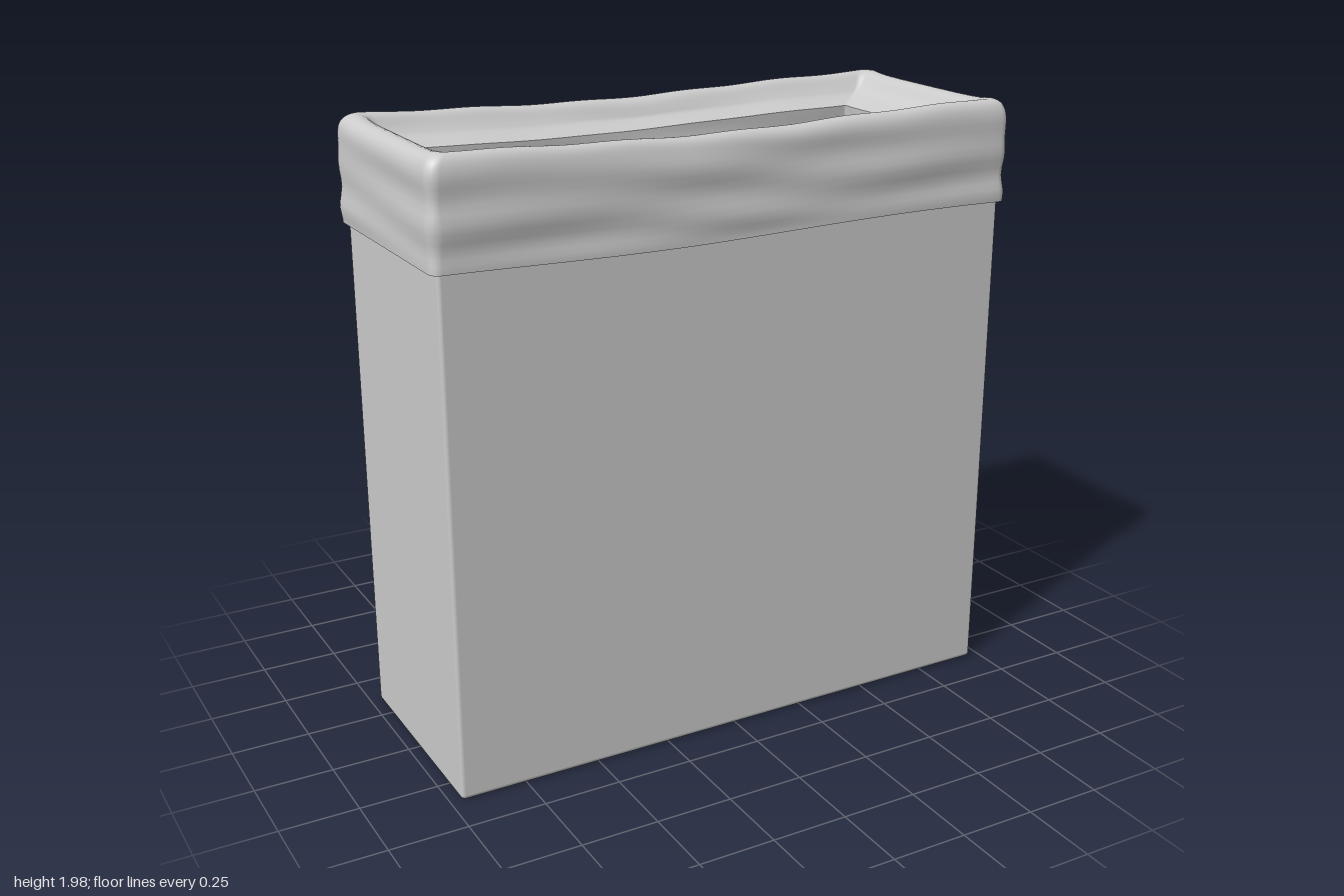
import * as THREE from 'three';

const grey = new THREE.MeshStandardMaterial({ color: 0xcccccc, side: THREE.DoubleSide });

// Rounded-rectangle outline: each entry is [corner factor x, corner factor z, normal x, normal z]
function outline(longSteps, shortSteps, cornerSteps) {
  const corners = [[1, 1], [-1, 1], [-1, -1], [1, -1]];
  const points = [];
  corners.forEach(([sx, sz], k) => {
    for (let i = 0; i <= cornerSteps; i++) {
      const a = (k + i / cornerSteps) * Math.PI / 2;
      points.push([sx, sz, Math.cos(a), Math.sin(a)]);
    }
    const [ex, ez] = corners[(k + 1) % 4];
    const a = (k + 1) * Math.PI / 2;
    const steps = k % 2 ? shortSteps : longSteps;
    for (let i = 1; i < steps; i++) {
      const t = i / steps;
      points.push([sx + (ex - sx) * t, sz + (ez - sz) * t, Math.cos(a), Math.sin(a)]);
    }
  });
  return points;
}

// Skin over rows [half width, half depth, height, corner radius, ...extras]
function loft(rows, ring, deform = () => {}) {
  const positions = [], index = [], n = ring.length;
  const v = new THREE.Vector3();
  rows.forEach((row, j) => {
    const [hx, hz, y, radius] = row;
    const r = Math.min(radius, hx, hz);
    ring.forEach(([sx, sz, nx, nz], i) => {
      v.set(sx * (hx - r) + nx * r, y, sz * (hz - r) + nz * r);
      deform(v, nx, nz, row, sx, sz);
      positions.push(v.x, v.y, v.z);
      if (j === rows.length - 1) return;
      const a = j * n + i, b = j * n + (i + 1) % n;
      index.push(a, a + n, b, b, a + n, b + n);
    });
  });
  const geometry = new THREE.BufferGeometry();
  geometry.setAttribute('position', new THREE.Float32BufferAttribute(positions, 3));
  geometry.setIndex(index);
  geometry.computeVertexNormals();
  return geometry;
}

// Liner profile, resampled from a few control rows
// Values: half width, half depth, height, corner radius, wrinkle, top lift, pinch
function linerRows() {
  const folded = [
    [0.985, 0.381, 1.64, 0.03, 0.2, 0, 0],
    [0.986, 0.382, 1.70, 0.035, 1, 0.1, 0],
    [0.986, 0.383, 1.80, 0.035, 1, 0.4, 0],
    [0.985, 0.382, 1.89, 0.035, 0.8, 0.8, 0],
    [0.975, 0.374, 1.94, 0.035, 0.4, 1, 0],
    [0.945, 0.352, 1.96, 0.03, 0.2, 1, 0],
    [0.905, 0.325, 1.95, 0.025, 0.5, 1, 0],
    [0.875, 0.302, 1.915, 0.02, 0.8, 0.7, 0],
    [0.845, 0.285, 1.895, 0.02, 0.8, 0.5, 0],
    [0.775, 0.235, 1.87, 0.01, 0.4, 0.3, 0],
  ];
  const bag = [
    [0.775, 0.235, 1.87, 0.01, 0.4, 0.3, 0],
    [0.78, 0.24, 1.75, 0.01, 0.8, 0, 0.02],
    [0.80, 0.26, 1.50, 0.01, 0.8, 0, 0.08],
    [0.83, 0.28, 1.20, 0.01, 0.8, 0, 0.14],
    [0.87, 0.30, 0.70, 0.01, 0.6, 0, 0.10],
    [0.90, 0.32, 0.06, 0.01, 0, 0, 0],
  ];
  const smooth = (keys, steps) => {
    const out = [];
    const at = (i) => keys[Math.max(0, Math.min(keys.length - 1, i))];
    for (let i = 0; i < keys.length - 1; i++)
      for (let s = 0; s < steps; s++) {
        const t = s / steps;
        out.push(at(i).map((p, c) => {
          const [o, q, e] = [at(i - 1)[c], at(i + 1)[c], at(i + 2)[c]];
          return p + 0.5 * t * (q - o + t * (2 * o - 5 * p + 4 * q - e + t * (3 * (p - q) + e - o)));
        }));
      }
    return [...out, keys[keys.length - 1]];
  };
  const floor = [0.90, 0.32, 0.06, 0.01, 0, 0, 0];
  return [
    [0.962, 0.362, 1.64, 0.01, 0, 0, 0], folded[0], // underside of the hem
    ...smooth(folded, 4), ...smooth(bag, 5),
    floor, [0, 0, 0.06, 0, 0, 0, 0],
  ];
}

// Soft creases in the cloth, uneven hem and rim, end walls pinched inwards
function crumple(v, nx, nz, [, , , , wrinkle, lift, pinch], sx, sz) {
  const { x, y, z } = v;
  const along = x + z * 0.8;
  const push = wrinkle * (0.0035 * Math.sin(48 * y + 3.5 * along + Math.sin(4 * x))
    + 0.0025 * Math.sin(31 * y - 5 * along + 1.7 * z) + 0.0015 * Math.sin(9 * along));
  v.x += nx * push - Math.sign(sx) * Math.abs(nx) * pinch * (1 - Math.abs(sz));
  v.z += nz * push;
  const rim = 0.008 * Math.sin(4 * (x - 0.3)) + 0.002 * Math.sin(17 * x + 5 * z)
    + 0.008 * Math.abs(sx * sz) ** 6;
  const hem = y > 1.6 ? 0.007 * Math.sin(3.6 * (x - 0.2)) : 0;
  v.y += lift * rim + (1 - lift) * hem;
}

export function createModel() {
  const group = new THREE.Group();

  // Open box with slightly eased edges and a wall thickness
  const basketRows = [
    [0, 0, 0, 0], [0.953, 0.353, 0, 0.004], [0.953, 0.353, 0, 0.004],
    [0.960, 0.360, 0.003, 0.010], [0.964, 0.364, 0.008, 0.012], [0.965, 0.365, 0.014, 0.013],
    [0.965, 0.365, 0.014, 0.013], [0.965, 0.365, 1.88, 0.013], [0.965, 0.365, 1.88, 0.013],
    [0.935, 0.335, 1.88, 0.01], [0.935, 0.335, 1.88, 0.01], [0.935, 0.335, 0.03, 0.01],
    [0.935, 0.335, 0.03, 0.01], [0, 0, 0.03, 0],
  ];
  const basket = new THREE.Mesh(loft(basketRows, outline(2, 2, 4)), grey);
  basket.name = 'basket';
  group.add(basket);

  // Cloth liner folded over the rim and hanging inside
  const liner = new THREE.Mesh(loft(linerRows(), outline(60, 24, 5), crumple), grey);
  liner.name = 'liner';
  group.add(liner);

  return group;
}
